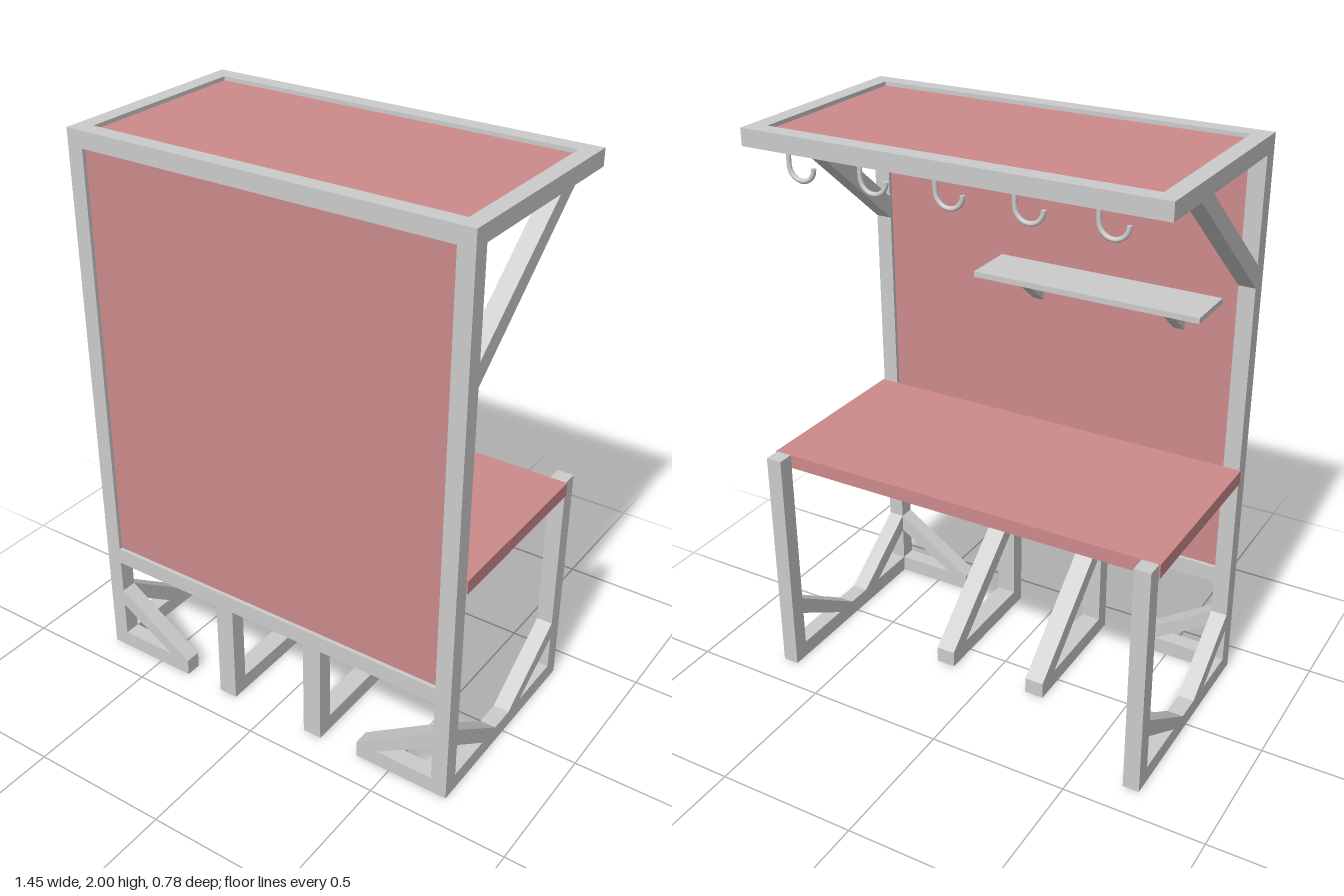
import * as THREE from 'three';

const T = 0.058;            // beam thickness
const W = 0.722;            // half width
const F = 0.39;             // front plane
const IX = W - T, IZ = F - T;

const grey = new THREE.MeshStandardMaterial({ color: 0xcccccc });
const red = new THREE.MeshStandardMaterial({ color: 0xcc8a8a });

export function createModel() {
  const model = new THREE.Group();

  const add = (name, geometry, material = grey) => {
    const mesh = new THREE.Mesh(geometry, material);
    mesh.name = name;
    model.add(mesh);
    return mesh;
  };

  // Box given by its limits on each axis
  const box = (name, x0, x1, y0, y1, z0, z1, material) =>
    add(name, new THREE.BoxGeometry(x1 - x0, y1 - y0, z1 - z0), material)
      .position.set((x0 + x1) / 2, (y0 + y1) / 2, (z0 + z1) / 2);

  const prism = (points, width) => {
    const shape = new THREE.Shape(points.map(([a, b]) => new THREE.Vector2(a, b)));
    return new THREE.ExtrudeGeometry(shape, { depth: width, bevelEnabled: false })
      .translate(0, 0, -width / 2);
  };

  // Brace outlined in (z, y), centred on x
  const sideBrace = (name, points, x, width = T) =>
    add(name, prism(points, width).rotateY(-Math.PI / 2)).position.set(x, 0, 0);

  // Brace outlined in (x, y), centred on z
  const frontBrace = (name, points, z) =>
    add(name, prism(points, T)).position.set(0, 0, z);

  for (const s of [-1, 1]) {
    const c = s * (W - T / 2);
    const span = (a, b) => (s > 0 ? [a, b] : [-b, -a]);
    const px = span(IX, W);

    // Side frame
    box('frontPost', ...px, 0, 2, IZ, F);
    box('tablePost', ...px, 0, 0.85, -F, -IZ);
    box('bottomRail', ...px, 0, 0.06, -IZ, IZ);
    box('roofSideBeam', ...px, 2 - T, 2, -0.315, IZ);
    sideBrace('roofBrace', [[IZ, 1.51], [IZ, 1.59], [-0.095, 2 - T], [-0.183, 2 - T]], c);
    sideBrace('frontCornerBrace', [[IZ, 0.19], [IZ, 0.255], [0.06, 0.06], [0.15, 0.06]], c);
    sideBrace('rearCornerBrace', [[-IZ, 0.19], [-IZ, 0.255], [-0.035, 0.06], [-0.115, 0.06]], c);

    // Sideways foot with its brace
    box('frontFoot', ...span(0.37, IX), 0, 0.06, IZ, F);
    frontBrace('frontFootBrace',
      [[IX, 0.19], [IX, 0.255], [0.37, 0.06], [0.45, 0.06]].map(([x, y]) => [s * x, y]), F - T / 2);

    // Middle leg, foot and diagonal
    const mx = span(0.15, 0.22);
    box('middleLeg', ...mx, 0, 0.38, IZ, F);
    box('middleFoot', ...mx, 0, 0.06, -0.12, IZ);
    sideBrace('middleBrace', [[IZ, 0.37], [IZ, 0.44], [-0.12, 0.06], [-0.03, 0.06]], s * 0.185, 0.07);
  }

  // Cross beams
  box('lowerCrossBeam', -IX, IX, 0.38, 0.44, IZ, F);
  box('roofFrontBeam', -IX, IX, 2 - T, 2, IZ, F);
  box('roofRearBeam', -W, W, 2 - T, 2, -0.375, -0.315);

  // Infill panels and table top
  box('wallPanel', -IX, IX, 0.44, 2 - T, 0.346, 0.376, red);
  box('roofPanel', -IX, IX, 1.956, 1.986, -0.315, IZ, red);
  box('tableTop', -0.727, 0.727, 0.8, 0.85, -IZ, IZ, red);

  // Shelf on two brackets
  box('shelf', -0.61, 0.21, 1.43, 1.45, 0.155, 0.346);
  for (const x of [-0.465, 0.065])
    sideBrace('shelfBracket', [[0.346, 1.312], [0.346, 1.362], [0.23, 1.43], [0.2, 1.43]].map(
      ([z, y]) => [z, y]), x, 0.04);

  // Hooks under the rear roof beam
  const r = 0.047, bend = 1.895;
  const path = new THREE.CurvePath();
  path.add(new THREE.LineCurve3(new THREE.Vector3(r, 2 - T, 0), new THREE.Vector3(r, bend, 0)));
  const arc = [];
  for (let i = 0; i <= 8; i++) {
    const a = -Math.PI * i / 8;
    arc.push(new THREE.Vector3(r * Math.cos(a), bend + r * Math.sin(a), 0));
  }
  path.add(new THREE.CatmullRomCurve3(arc));
  const hookGeometry = new THREE.TubeGeometry(path, 24, 0.008, 10);
  const tipGeometry = new THREE.CircleGeometry(0.008, 10).rotateX(-Math.PI / 2);
  for (let i = -2; i <= 2; i++) {
    add('hook', hookGeometry).position.set(i * 0.265, 0, -0.332);
    add('hookTip', tipGeometry).position.set(i * 0.265 - r, bend, -0.332);
  }

  return model;
}
